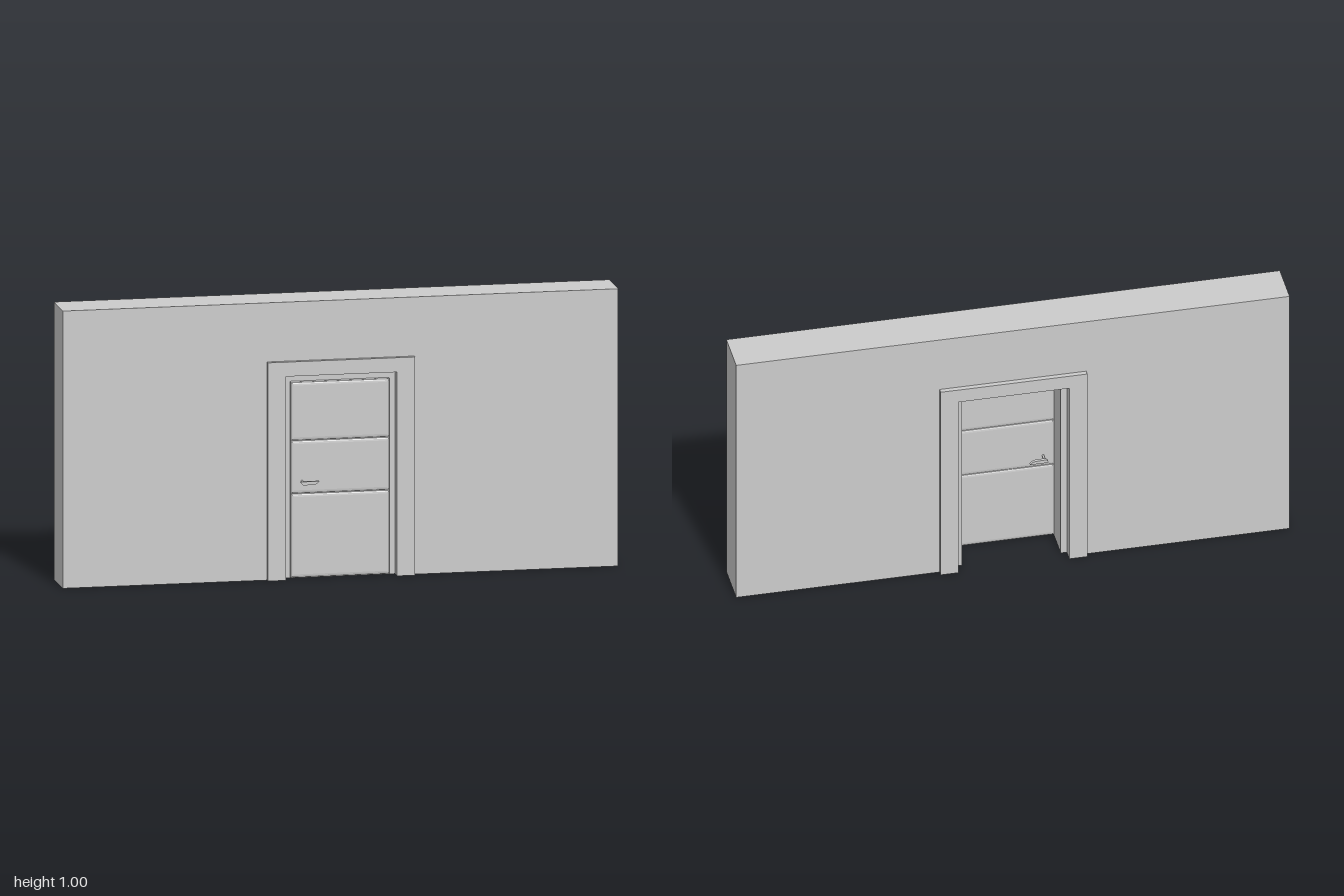
import * as THREE from 'three';

const material = new THREE.MeshStandardMaterial({ color: 0xcccccc });

function add(group, name, geometry, x = 0, y = 0, z = 0) {
  const mesh = new THREE.Mesh(geometry, material);
  mesh.name = name;
  mesh.position.set(x, y, z);
  group.add(mesh);
  return mesh;
}

// Upside-down U around the doorway, extruded from z0 to z1
function portal(outerX, outerTop, innerX, innerTop, z0, z1) {
  const shape = new THREE.Shape([
    [-outerX, 0], [-innerX, 0], [-innerX, innerTop], [innerX, innerTop],
    [innerX, 0], [outerX, 0], [outerX, outerTop], [-outerX, outerTop],
  ].map(([x, y]) => new THREE.Vector2(x, y)));
  const geometry = new THREE.ExtrudeGeometry(shape, { depth: z1 - z0, bevelEnabled: false });
  return geometry.translate(0, 0, z0);
}

// Door panel with softened edges on both faces
function panelGeometry(halfWidth, y0, y1, z0, z1) {
  const b = 0.012, t = 0.006;
  const shape = new THREE.Shape([
    new THREE.Vector2(-halfWidth + b, y0 + b), new THREE.Vector2(halfWidth - b, y0 + b),
    new THREE.Vector2(halfWidth - b, y1 - b), new THREE.Vector2(-halfWidth + b, y1 - b),
  ]);
  const geometry = new THREE.ExtrudeGeometry(shape, {
    depth: z1 - z0 - 2 * t, bevelEnabled: true, bevelSize: b, bevelThickness: t, bevelSegments: 3,
  });
  return geometry.translate(0, 0, z0 + t);
}

// Lever handle pointing towards +x, standing off along +z
function createHandle(name, stem) {
  const handle = new THREE.Group();
  handle.name = name;
  add(handle, 'handleStem', new THREE.CylinderGeometry(0.004, 0.004, stem, 12).rotateX(Math.PI / 2), 0, 0, stem / 2);
  const outline = new THREE.Shape();
  outline.moveTo(-0.012, 0.006);
  outline.lineTo(0.055, 0.006);
  outline.quadraticCurveTo(0.048, -0.004, 0.035, -0.006);
  outline.lineTo(0, -0.007);
  outline.quadraticCurveTo(-0.01, -0.006, -0.012, 0.006);
  add(handle, 'handleLever', new THREE.ExtrudeGeometry(outline, { depth: 0.011, bevelEnabled: false }), 0, 0, stem - 0.002);
  return handle;
}

export function createModel() {
  const model = new THREE.Group();
  model.name = 'doorInWall';

  // Wall with doorway
  add(model, 'wall', portal(1, 1, 0.22, 0.755, -0.09, 0.073));

  // Casings on both faces, lining and door stop
  add(model, 'frontCasing', portal(0.265, 0.787, 0.2, 0.735, 0.073, 0.09));
  add(model, 'backCasing', portal(0.265, 0.787, 0.2, 0.735, -0.108, -0.09));
  add(model, 'lining', portal(0.22, 0.755, 0.2, 0.735, -0.09, 0.073));
  add(model, 'doorStop', portal(0.2, 0.735, 0.178, 0.709, -0.066, 0.05));

  // Door leaf with three cushioned panels
  const door = new THREE.Group();
  door.name = 'door';
  model.add(door);
  add(door, 'doorCore', new THREE.BoxGeometry(0.356, 0.706, 0.015), 0, 0.356, 0.057);
  for (const [y0, y1] of [[0.004, 0.307], [0.307, 0.498], [0.498, 0.709]]) {
    add(door, 'doorPanel', panelGeometry(0.178, y0, y1, 0.045, 0.07));
  }

  // Handles on both faces
  const front = createHandle('frontHandle', 0.031);
  front.position.set(-0.138, 0.351, 0.07);
  const back = createHandle('backHandle', 0.031);
  back.rotation.x = Math.PI;
  back.position.set(-0.138, 0.351, 0.045);
  door.add(front, back);

  return model;
}
